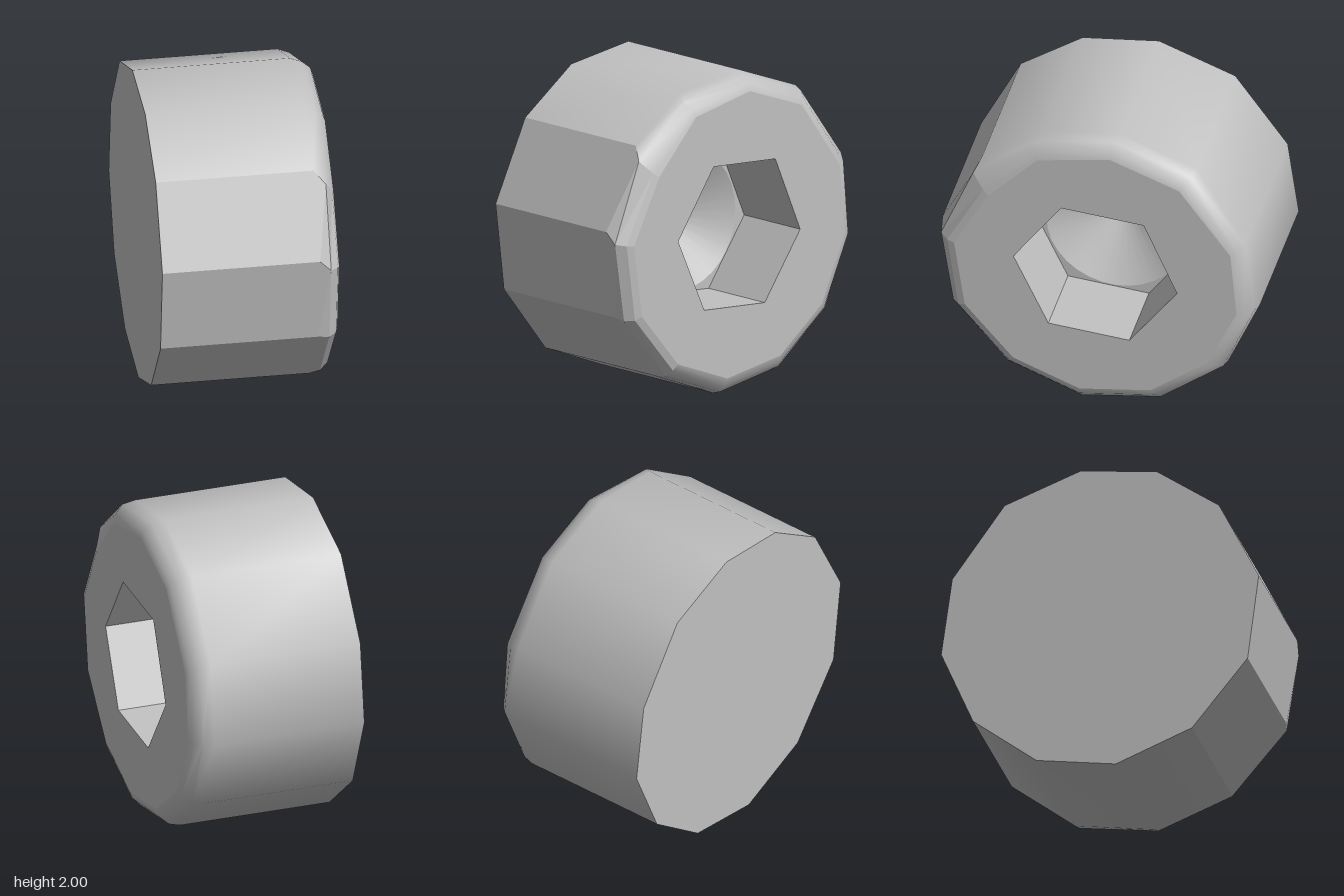
import * as THREE from 'three';
import { toCreasedNormals } from 'three/addons/utils/BufferGeometryUtils.js';

// Cross-sections as [z, y] pairs, in matching order round the x axis
const OUTER = [[0.58, 0.19], [0.93, 0.62], [1, 1.17], [0.75, 1.67], [0.36, 1.94], [-0.12, 2],
  [-0.6, 1.82], [-0.93, 1.36], [-1, 0.86], [-0.8, 0.39], [-0.4, 0.08], [0.1, 0]];
const BEVEL = [[0.57, 0.2], [0.915, 0.605], [0.991, 1.1], [0.79, 1.59], [0.41, 1.9], [-0.1, 1.98],
  [-0.58, 1.8], [-0.92, 1.35], [-0.98, 0.86], [-0.785, 0.4], [-0.39, 0.095], [0.105, 0.02]];
const RIM = [[0.55, 0.24], [0.87, 0.61], [0.94, 1.09], [0.715, 1.51], [0.39, 1.85], [-0.09, 1.94],
  [-0.55, 1.77], [-0.89, 1.31], [-0.93, 0.85], [-0.73, 0.42], [-0.36, 0.14], [0.11, 0.07]];
const FACE = RIM.map(([z, y]) => [z * 0.95, 1 + (y - 1) * 0.95]);
const HEX = [[0.22, 1.47], [-0.3, 1.43], [-0.51, 0.95], [-0.21, 0.54], [0.3, 0.58], [0.52, 1.05]];
const DRILL = Array.from({ length: 32 }, (_, i) => {
  const a = (i / 32) * Math.PI * 2;
  return [0.435 * Math.cos(a), 1 + 0.435 * Math.sin(a)];
});

const BACK_X = -0.557, FACE_X = 0.556, FLOOR_X = 0.06, TIP_X = -0.19;

// Skin between successive [x, section] rings, from side "start" for "count" sides
function skin(rings, start, count, crease) {
  const pos = [];
  const put = ([x, pts], i) => {
    const [z, y] = pts[i % pts.length];
    pos.push(x, y, z);
  };
  for (let r = 0; r < rings.length - 1; r++) {
    const a = rings[r], b = rings[r + 1];
    for (let i = start; i < start + count; i++) {
      put(a, i); put(b, i + 1); put(a, i + 1);
      put(a, i); put(b, i); put(b, i + 1);
    }
  }
  const geo = new THREE.BufferGeometry();
  geo.setAttribute('position', new THREE.Float32BufferAttribute(pos, 3));
  geo.computeVertexNormals();
  return crease ? toCreasedNormals(geo, crease) : geo;
}

// Flat plate at x, facing +x, with an optional hole
function plate(x, pts, hole) {
  const flat = (list) => list.map(([z, y]) => new THREE.Vector2(-z, y));
  const shape = new THREE.Shape(flat(pts));
  if (hole) shape.holes.push(new THREE.Path(flat(hole)));
  return new THREE.ShapeGeometry(shape).rotateY(Math.PI / 2).translate(x, 0, 0);
}

export function createModel() {
  const group = new THREE.Group();
  group.name = 'socketScrewHead';
  const steel = new THREE.MeshStandardMaterial({ color: 0xc0c0c0 });
  steel.name = 'steel grey';
  const add = (name, geo) => {
    const mesh = new THREE.Mesh(geo, steel);
    mesh.name = name;
    group.add(mesh);
  };

  // Outer shell: three hard facets, the other nine smooth
  const shell = [[BACK_X, OUTER], [0.42, OUTER], [0.49, BEVEL], [0.54, RIM], [FACE_X, FACE]];
  add('facetedSide', skin(shell, 0, 3, 0));
  add('smoothSide', skin(shell, 3, 9, 0.8));

  // Flat back and front face with the socket opening
  add('backFace', plate(-BACK_X, OUTER.map(([z, y]) => [-z, y])).rotateY(Math.PI));
  add('frontFace', plate(FACE_X, FACE, HEX));

  // Hexagonal socket with a drilled conical bottom
  add('socketWalls', skin([[FACE_X, HEX], [FLOOR_X, HEX]], 0, 6, 0));
  add('socketFloor', plate(FLOOR_X, HEX, DRILL));
  add('drillCone', skin([[FLOOR_X, DRILL], [TIP_X, DRILL.map(() => [0, 1])]], 0, 32, 0.4));
  return group;
}
